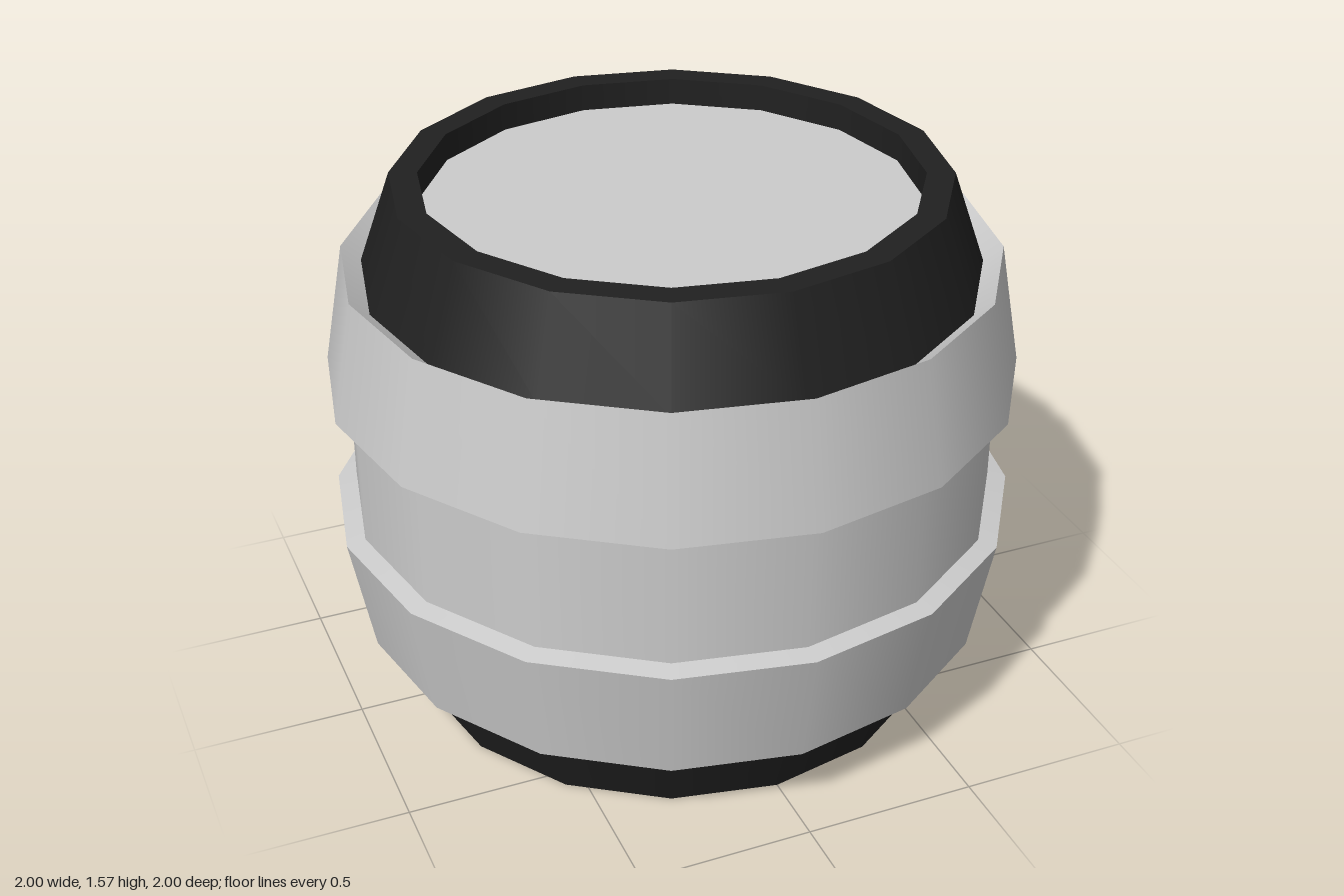
import * as THREE from 'three';
import { mergeGeometries } from 'three/addons/utils/BufferGeometryUtils.js';

const SIDES = 16;
const HEIGHT = 1.57;

// Turned part: smooth around the axis, sharp between profile steps.
// Profiles run up the outside and in towards the axis at the top.
function turned(name, profile, material) {
  const rings = [];
  for (let i = 0; i < profile.length - 1; i++) {
    const pair = [profile[i], profile[i + 1]].map(([r, y]) => new THREE.Vector2(r, y));
    rings.push(new THREE.LatheGeometry(pair, SIDES));
  }
  const mesh = new THREE.Mesh(mergeGeometries(rings), material);
  mesh.name = name;
  return mesh;
}

// Same profile at the other end of the barrel.
const flip = (profile) => profile.map(([r, y]) => [r, HEIGHT - y]).reverse();

export function createModel() {
  const grey = new THREE.MeshStandardMaterial({ color: 0xcccccc });
  const dark = new THREE.MeshStandardMaterial({ color: 0x202020 });

  const model = new THREE.Group();
  model.name = 'barrel';

  // Straight waist between the two bands
  model.add(turned('waist', [[0.945, 0.594], [0.945, 0.976]], grey));

  const parts = [
    // Flared band: ledge, sloping outside, lip dipping in to the end cap
    ['Band', [[0.945, 0.976], [1, 0.988], [0.935, 1.345], [0.88, 1.302]], grey],
    // Dark end cap: tapered side, flat rim, inner wall
    ['Cap', [[0.88, 1.302], [0.785, HEIGHT], [0.705, HEIGHT], [0.705, 1.49]], dark],
    // Recessed lid
    ['Lid', [[0.705, 1.49], [0, 1.49]], grey],
  ];
  for (const [name, profile, material] of parts) {
    model.add(turned('upper' + name, profile, material));
    model.add(turned('lower' + name, flip(profile), material));
  }
  return model;
}
